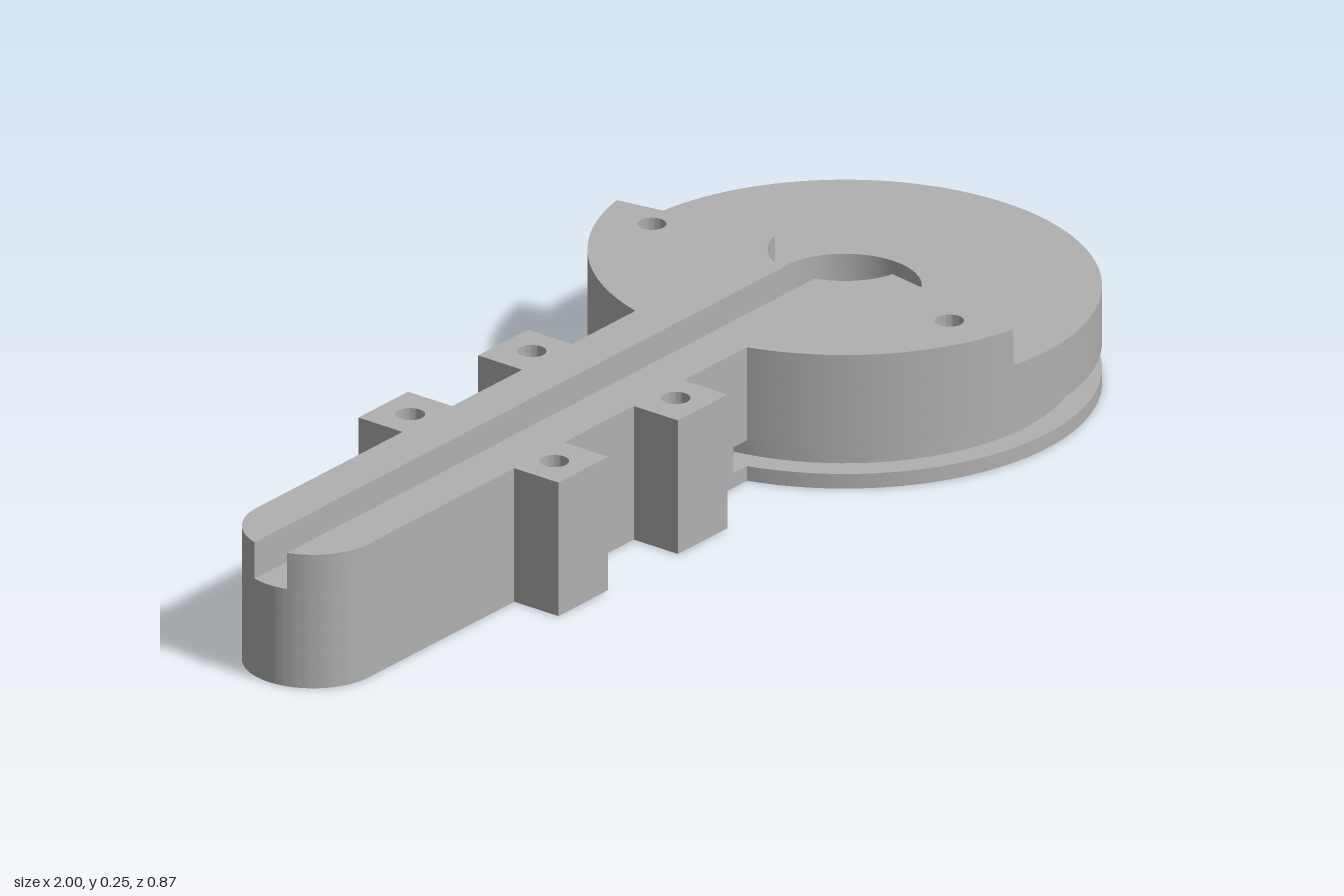
import * as THREE from 'three';
import { toCreasedNormals } from 'three/addons/utils/BufferGeometryUtils.js';

const PI = Math.PI;
const HUB_X = 0.565, HUB_R = 0.434, GROOVE_R = 0.39, CUT_R = 0.47;
const BORE_R = 0.13, WIDE_BORE_R = 0.152;
const ARM_X = -0.88, ARM_W = 0.12, SLOT = 0.035;
const LINE_ANGLE = 0.91; // direction of the radial line hole

// Plan coordinates are (x, s) with s = -z
const v = (x, s) => new THREE.Vector2(x, s);

function arc(cx, cs, r, a0, a1, n = 24) {
  const pts = [];
  for (let i = 0; i <= n; i++) {
    const a = a0 + (a1 - a0) * i / n;
    pts.push(v(cx + r * Math.cos(a), cs + r * Math.sin(a)));
  }
  return pts;
}
const circle = (x, s, r, n = 32) => arc(x, s, r, 0, 2 * PI, n).slice(0, -1);
const flip = (pts) => pts.map((p) => v(p.x, -p.y));
const mirrored = (half) => [...half, ...flip(half.slice(1, -1)).reverse()];

// Upper edge of the arm with its rounded end and two square lugs
function armEdge(startAngle) {
  const pts = arc(ARM_X, 0, ARM_W, startAngle, PI / 2);
  for (const [a, b] of [[-0.485, -0.35], [-0.16, -0.025]]) {
    pts.push(v(a, ARM_W), v(a, 0.215), v(b, 0.215), v(b, ARM_W));
  }
  return pts;
}
const joint = (r) => PI - Math.asin(ARM_W / r);

// Holes: round counterbores on one side, hexagonal nut pockets on the other
const armCentreHoles = () => [circle(-0.8, 0, 0.032), circle(-0.12, 0, 0.032)];
function screwHoles(places, wide) {
  return places.flatMap(([x, s]) => wide
    ? [circle(x, s, 0.043), circle(x, -s, 0.046, 6)]
    : [circle(x, s, 0.025), circle(x, -s, 0.025)]);
}
const LUG = [[-0.42, 0.155], [-0.09, 0.155]];
const HUB = [[0.445, 0.32]];

export function createModel() {
  const group = new THREE.Group();
  const grey = new THREE.MeshStandardMaterial({ color: 0xb0b0b0 });
  grey.name = 'grey';

  function layer(name, outline, holes, y0, y1) {
    const shape = new THREE.Shape(outline);
    shape.holes = holes.map((h) => new THREE.Path(h));
    const raw = new THREE.ExtrudeGeometry(shape, { depth: y1 - y0, bevelEnabled: false });
    raw.rotateX(-PI / 2);
    raw.translate(0, y0, 0);
    const mesh = new THREE.Mesh(toCreasedNormals(raw, 0.5), grey);
    mesh.name = name;
    group.add(mesh);
  }

  // Full outline: arm joined to the round hub
  const full = mirrored([...armEdge(PI), ...arc(HUB_X, 0, HUB_R, joint(HUB_R), 0, 64)]);
  const fullHoles = (bore, wide) => [
    circle(HUB_X, 0, bore, 64), ...armCentreHoles(), ...screwHoles([...LUG, ...HUB], wide)];
  layer('bottomFlange', full, fullHoles(WIDE_BORE_R, true), 0, 0.027);
  layer('lowerBody', full, fullHoles(WIDE_BORE_R, false), 0.075, 0.125);
  layer('middleBody', full, fullHoles(BORE_R, false), 0.125, 0.18);

  // Arm at groove height, cut back by the ring groove
  const grooveArm = mirrored([...armEdge(PI), ...arc(HUB_X, 0, CUT_R, joint(CUT_R), PI)]);
  layer('grooveArm', grooveArm, [...armCentreHoles(), ...screwHoles(LUG, true)], 0.027, 0.075);

  // Groove core, with the line hole running out from the bore
  function core(y0, y1, width) {
    if (!width) {
      layer('grooveCore', circle(HUB_X, 0, GROOVE_R, 96),
        [circle(HUB_X, 0, WIDE_BORE_R, 64), ...screwHoles(HUB, true)], y0, y1);
      return;
    }
    const ring = (r) => {
      const d = Math.asin(width / 2 / r);
      return arc(HUB_X, 0, r, LINE_ANGLE + d, LINE_ANGLE + 2 * PI - d, 96);
    };
    layer('grooveCore', [...ring(GROOVE_R), ...ring(WIDE_BORE_R).reverse()],
      screwHoles(HUB, true), y0, y1);
  }
  core(0.027, 0.035, 0);
  core(0.035, 0.064, 0.044);
  core(0.064, 0.07, 0.036);
  core(0.07, 0.073, 0.02);
  core(0.073, 0.075, 0);

  // Raised top: two mirrored halves beside the long slot, ending in a wedge on the hub
  const half = [
    ...armEdge(PI - Math.asin(SLOT / ARM_W)),
    ...arc(HUB_X, 0, HUB_R, joint(HUB_R), 1.757, 32),
    ...arc(HUB_X, 0, BORE_R, 1.803, PI - Math.asin(SLOT / BORE_R), 16),
  ];
  const topHoles = [...LUG, ...HUB].map(([x, s]) => circle(x, s, 0.025));
  layer('backTop', half, topHoles, 0.18, 0.247);
  layer('frontTop', flip(half), topHoles.map(flip), 0.18, 0.247);

  return group;
}
